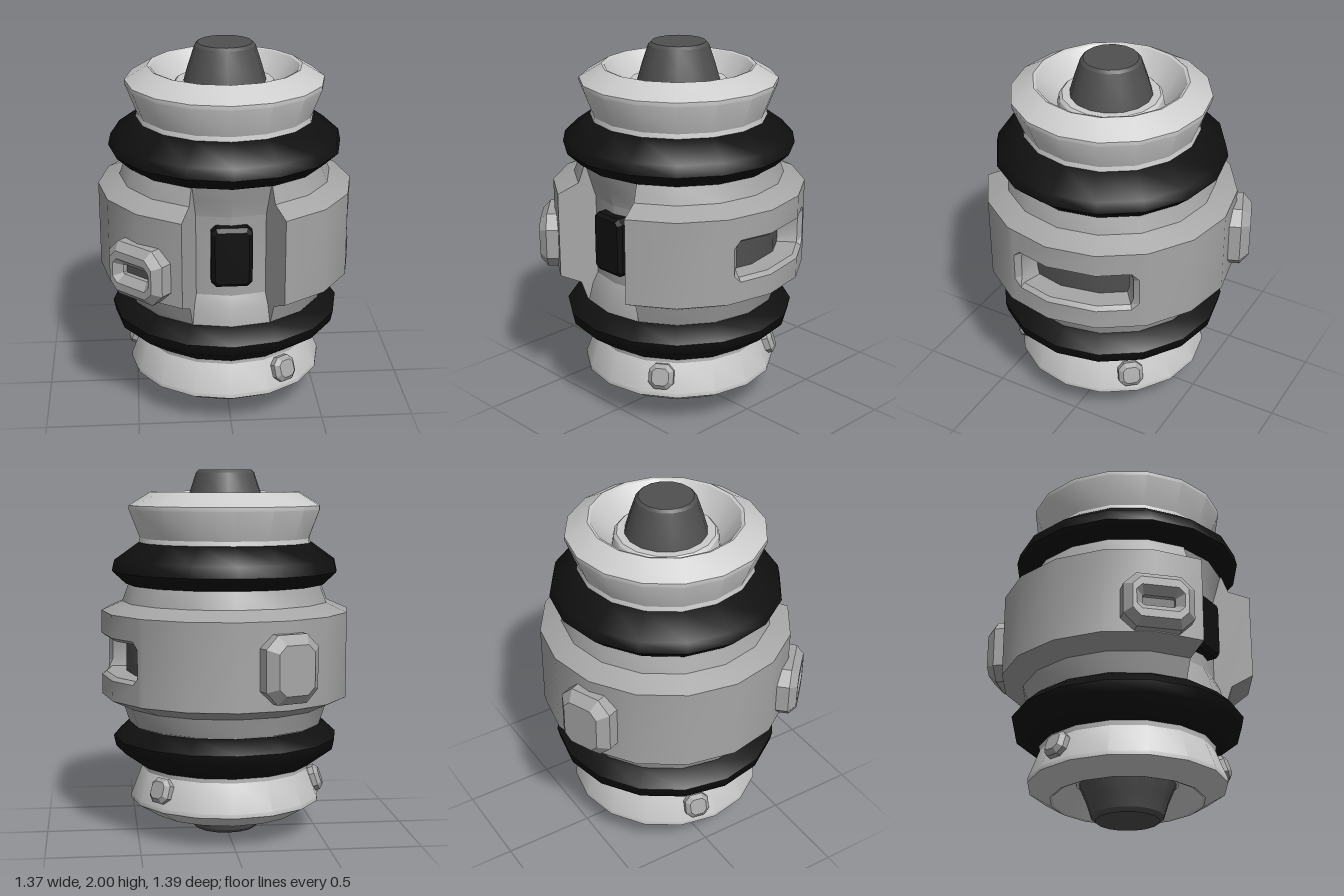
import * as THREE from 'three';
import { toCreasedNormals } from 'three/addons/utils/BufferGeometryUtils.js';

const SIDES = 16, STEP = 22.5, RAD = Math.PI / 180;
const mat = (color) => new THREE.MeshStandardMaterial({ color, side: THREE.DoubleSide });
const LIGHT = mat(0xcccccc), GREY = mat(0xa6a6a6), DARK = mat(0x505050), BLACK = mat(0x101010);

function add(parent, name, geo, material, crease = 0.45) {
  const mesh = new THREE.Mesh(toCreasedNormals(geo, crease), material);
  mesh.name = name;
  parent.add(mesh);
  return mesh;
}

// Turned part from [radius, y] pairs, outside listed upwards; angles start at the front
function turned(profile, from = 0, to = 360) {
  const pts = profile.map(([r, y]) => new THREE.Vector2(r, y));
  return new THREE.LatheGeometry(pts, Math.round((to - from) / STEP), from * RAD, (to - from) * RAD);
}

// Same profile turned upside down about the middle of the body
const flipped = (profile, mid) => profile.map(([r, y]) => [r, 2 * mid - y]).reverse();

// Point on the 16-sided wall at an angle in degrees
function onWall(deg, r, y) {
  const mid = (Math.floor(deg / STEP + 1e-6) + 0.5) * STEP;
  const d = r * Math.cos(STEP / 2 * RAD) / Math.cos((deg - mid) * RAD);
  return [d * Math.sin(deg * RAD), y, d * Math.cos(deg * RAD)];
}

function fromQuads(quads) {
  const pos = [];
  for (const [a, b, c, d] of quads) pos.push(...a, ...b, ...c, ...a, ...c, ...d);
  const geo = new THREE.BufferGeometry();
  geo.setAttribute('position', new THREE.Float32BufferAttribute(pos, 3));
  return geo;
}

// Rectangle with cut corners
function cutRect(w, h, c, Type = THREE.Shape) {
  const x = w / 2, y = h / 2;
  return new Type([[-x + c, -y], [x - c, -y], [x, -y + c], [x, y - c],
    [x - c, y], [-x + c, y], [-x, y - c], [-x, -y + c]].map(([a, b]) => new THREE.Vector2(a, b)));
}

// Chamfered block whose front face lies on z = 0
function block(w, h, depth, bevel, corner, hole) {
  const shape = cutRect(w - 2 * bevel, h - 2 * bevel, corner);
  if (hole) shape.holes.push(hole);
  const geo = new THREE.ExtrudeGeometry(shape, {
    depth, bevelEnabled: true, bevelSize: bevel, bevelThickness: bevel, bevelSegments: 1,
  });
  return geo.translate(0, 0, -depth - bevel);
}

// Group turned to an angle about the axis
function station(parent, name, deg) {
  const g = new THREE.Group();
  g.name = name;
  g.rotation.y = deg * RAD;
  parent.add(g);
  return g;
}

// Outer jacket: open at the front, with a long slot in its left side
function addJacket(parent) {
  const R = 0.685, LO = 0.77, HI = 1.235, start = STEP, end = 360 - STEP;
  const section = [[R, HI], [0.57, 1.285], [0.535, 1.38], [0.5, 1.38], [0.46, 1.27],
    [0.46, 0.73], [0.5, 0.61], [0.535, 0.61], [0.57, 0.715], [R, LO]];
  add(parent, 'jacketRims', turned(section, start, end), GREY);

  // Door jambs
  for (const deg of [start, end]) {
    const shape = new THREE.Shape(section.map(([r, y]) => new THREE.Vector2(r, y)));
    add(parent, 'doorJamb', new THREE.ShapeGeometry(shape).rotateY((deg - 90) * RAD), GREY);
  }

  // Wall with the slot left out
  const t0 = 70.4, t1 = 131.6, y0 = 0.88, y1 = 1.11, cut = 0.04;
  const slotCols = [t0, t0 + 3.4, 90, 112.5, t1 - 3.4, t1];
  const isEnd = (t) => t === t0 || t === t1;
  const top = (t) => (isEnd(t) ? y1 - cut : y1);
  const low = (t) => (isEnd(t) ? y0 + cut : y0);
  const cols = [...slotCols];
  for (let t = start; t <= end; t += STEP) if (!cols.includes(t)) cols.push(t);
  cols.sort((a, b) => a - b);
  const quads = [];
  // Both corners of a quad must use the facet between them
  const P = (t, y) => onWall(t, R, y);
  for (let i = 0; i < cols.length - 1; i++) {
    const a = cols[i], b = cols[i + 1];
    if (a >= t0 && b <= t1) {
      quads.push([P(a, top(a)), P(b, top(b)), P(b, HI), P(a, HI)]);
      quads.push([P(a, LO), P(b, LO), P(b, low(b)), P(a, low(a))]);
    } else quads.push([P(a, LO), P(b, LO), P(b, HI), P(a, HI)]);
  }
  add(parent, 'jacketWall', fromQuads(quads), GREY);

  // Slot sides: a chamfer, then straight in
  const loop = [...slotCols.map((t) => [t, top(t)]), ...[...slotCols].reverse().map((t) => [t, low(t)])];
  const clamp = THREE.MathUtils.clamp;
  const inset = loop.map(([t, y]) => [clamp(t, t0 + 2.2, t1 - 2.2), y + (y > 0.995 ? -0.018 : 0.018)]);
  const rings = [loop.map(([t, y]) => onWall(t, R, y)),
    inset.map(([t, y]) => onWall(t, 0.66, y)), inset.map(([t, y]) => onWall(t, 0.54, y))];
  const sides = [];
  for (let k = 0; k < 2; k++) {
    for (let i = 0; i < loop.length; i++) {
      const j = (i + 1) % loop.length;
      sides.push([rings[k][i], rings[k][j], rings[k + 1][j], rings[k + 1][i]]);
    }
  }
  add(parent, 'slotSides', fromQuads(sides), GREY);
  add(parent, 'slotFloor', turned([[0.55, 0.84], [0.55, 1.15]], 67.5, 135), DARK);
}

export function createModel() {
  const model = new THREE.Group();
  model.name = 'canister';
  const body = new THREE.Group();
  body.name = 'body';
  body.position.z = 0.04;
  model.add(body);

  // Inner drum seen through the front opening
  add(body, 'innerDrum', turned([[0.53, 0.6], [0.505, 0.7], [0.475, 0.76], [0.475, 1.2],
    [0.505, 1.3], [0.53, 1.39]]), GREY);
  addJacket(body);

  // Rubber rings
  const ring = [[0.48, 1.375], [0.55, 1.38], [0.625, 1.45], [0.612, 1.51], [0.48, 1.605], [0.44, 1.605]];
  add(body, 'upperRing', turned(ring), BLACK, 0.8);
  add(body, 'lowerRing', turned(flipped(ring, 0.992)), BLACK, 0.8);

  // End caps with a funnel and a collar
  const cap = [[0.44, 1.59], [0.475, 1.605], [0.47, 1.63], [0.53, 1.785], [0.53, 1.807], [0.41, 1.88],
    [0.395, 1.875], [0.285, 1.73], [0.275, 1.78], [0.26, 1.795], [0.19, 1.795]];
  add(body, 'upperCap', turned(cap), LIGHT);
  add(body, 'lowerCap', turned(flipped(cap, 0.992)), LIGHT);

  // Dark plugs
  add(body, 'upperPlug', turned([[0.225, 1.77], [0.215, 1.81], [0.195, 1.88], [0.16, 1.985],
    [0.145, 2], [0, 2]]), DARK);
  add(body, 'lowerPlug', turned([[0, 0], [0.17, 0], [0.193, 0.02], [0.22, 0.105], [0.265, 0.21],
    [0.265, 0.26]]), DARK);

  // Black panel in the front opening
  const panel = station(body, 'frontPanel', 0);
  add(panel, 'panelBlock', block(0.215, 0.325, 0.08, 0.02, 0.015), BLACK, 0.3).position.set(0, 0.993, 0.53);

  // Vent pod at the front right
  const vent = station(body, 'ventPod', -44);
  const mouth = cutRect(0.25, 0.135, 0.03, THREE.Path);
  add(vent, 'ventHousing', block(0.37, 0.3, 0.15, 0.04, 0.045, mouth), GREY, 0.3).position.set(0, 0.925, 0.755);
  add(vent, 'ventFloor', new THREE.PlaneGeometry(0.24, 0.1), DARK).position.set(0, 0.925, 0.69);

  // Plain pod at the back
  const pod = station(body, 'backPod', 202.5);
  add(pod, 'podHousing', block(0.31, 0.36, 0.15, 0.05, 0.04), GREY, 0.3).position.set(0, 0.99, 0.768);

  // Studs around the lower cap, leaning with its slope
  for (const deg of [35, 131, 258]) {
    const stud = add(station(body, 'studMount', deg), 'stud', block(0.135, 0.135, 0.06, 0.022, 0.02), GREY, 0.3);
    stud.position.set(0, 0.3, 0.535);
    stud.rotation.x = -0.33;
  }
  return model;
}
